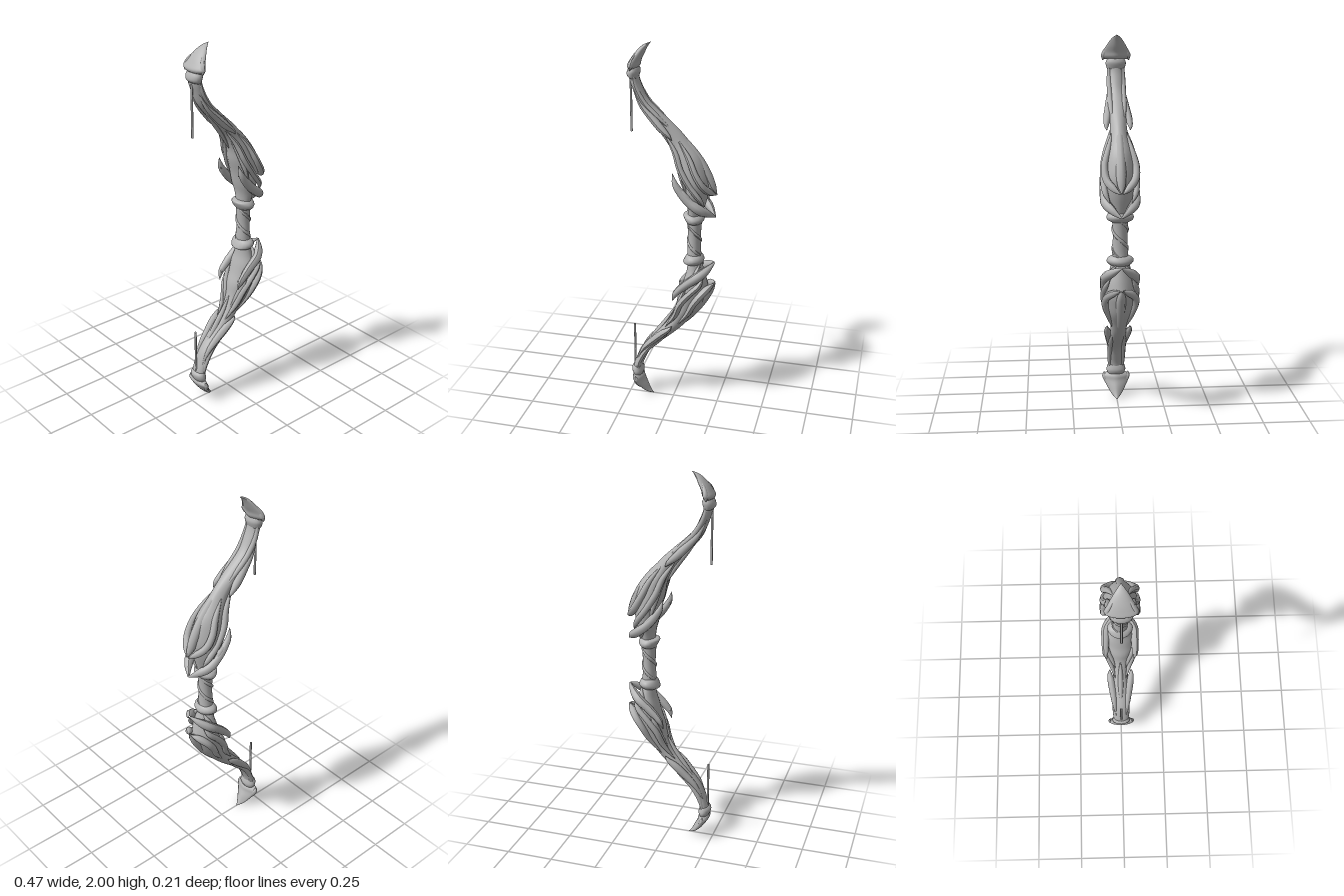
import * as THREE from 'three';

const stone = new THREE.MeshStandardMaterial({ color: 0xb4b4b4 });
stone.name = 'carved grey';

// Lower limb mirrors the upper one, slipping down a little near the grip
const flipY = (y) => 2 - y - 0.035 * THREE.MathUtils.smoothstep(1.4 - y, 0, 0.22);

// Smooth closed loft through sections [y, xMin, xMax, zHalf], given from low to high
function loft(sections, steps = 4, sides = 20, ridge = 0.25) {
  const v = (f) => new THREE.CatmullRomCurve3(sections.map(f), false, 'catmullrom', 0.5);
  const edge = v((s) => new THREE.Vector3(s[1], s[0], s[2]));
  const width = v((s) => new THREE.Vector3(s[3], 0, 0));
  const rows = (sections.length - 1) * steps;
  const pos = [], idx = [];
  for (let i = 0; i <= rows; i++) {
    const e = edge.getPoint(i / rows), hz = Math.max(width.getPoint(i / rows).x, 0.001);
    const cx = (e.x + e.z) / 2, hx = Math.max((e.z - e.x) / 2, 0.001);
    for (let j = 0; j < sides; j++) {
      const a = (j / sides) * Math.PI * 2, c = Math.cos(a);
      pos.push(cx + hx * c, e.y, -hz * Math.sin(a) * (1 - ridge * Math.max(0, c)));
    }
  }
  for (let i = 0; i < rows; i++) for (let j = 0; j < sides; j++) {
    const a = i * sides + j, b = i * sides + (j + 1) % sides;
    idx.push(a, b, a + sides, b, b + sides, a + sides);
  }
  for (let j = 1; j < sides - 1; j++) {
    const t = rows * sides;
    idx.push(0, j + 1, j, t, t + j, t + j + 1);
  }
  const g = new THREE.BufferGeometry();
  g.setAttribute('position', new THREE.Float32BufferAttribute(pos, 3));
  g.setIndex(idx);
  g.computeVertexNormals();
  return g;
}

// Tapering strand through points [x, y, z, radius]
function strand(points, steps = 28, sides = 8) {
  const curve = new THREE.CatmullRomCurve3(points.map((p) => new THREE.Vector3(p[0], p[1], p[2])));
  const size = new THREE.CatmullRomCurve3(points.map((p, i) => new THREE.Vector3(p[3], i, 0)), false, 'catmullrom');
  const g = new THREE.TubeGeometry(curve, steps, 1, sides, false);
  const p = g.attributes.position, v = new THREE.Vector3();
  for (let i = 0; i <= steps; i++) {
    const t = curve.getUtoTmapping(i / steps), c = curve.getPoint(t);
    const r = Math.max(size.getPoint(t).x, 0.0012);
    for (let j = 0; j <= sides; j++) {
      const k = i * (sides + 1) + j;
      v.fromBufferAttribute(p, k).sub(c).multiplyScalar(r).add(c);
      p.setXYZ(k, v.x, v.y, v.z);
    }
  }
  g.computeVertexNormals();
  return g;
}

function add(group, name, geometry) {
  const m = new THREE.Mesh(geometry, stone);
  m.name = name;
  group.add(m);
}

// Upper limb core, [y, xMin, xMax, zHalf]
const core = [
  [1.09, 0.08, 0.145, 0.042], [1.16, 0.075, 0.165, 0.06], [1.22, 0.06, 0.18, 0.08],
  [1.29, 0.045, 0.19, 0.085], [1.36, 0.025, 0.175, 0.08], [1.43, 0.012, 0.145, 0.066],
  [1.5, -0.02, 0.088, 0.047], [1.56, -0.065, 0.035, 0.042], [1.62, -0.115, -0.03, 0.044],
  [1.7, -0.178, -0.118, 0.043], [1.77, -0.208, -0.158, 0.043], [1.83, -0.226, -0.178, 0.044],
  [1.89, -0.222, -0.175, 0.046]];
// Claw-shaped end of the limb
const claw = [
  [1.872, -0.225, -0.178, 0.06], [1.888, -0.23, -0.168, 0.078], [1.91, -0.218, -0.163, 0.07],
  [1.94, -0.198, -0.148, 0.053], [1.97, -0.171, -0.134, 0.034], [1.988, -0.147, -0.123, 0.018],
  [2, -0.117, -0.113, 0.001]];
const neckRing = [
  [1.82, -0.224, -0.18, 0.044], [1.835, -0.236, -0.174, 0.05], [1.855, -0.234, -0.17, 0.053],
  [1.875, -0.224, -0.176, 0.045]];
const collar = [
  [1.07, 0.078, 0.148, 0.042], [1.082, 0.07, 0.158, 0.064], [1.1, 0.06, 0.166, 0.07],
  [1.118, 0.055, 0.158, 0.058], [1.125, 0.08, 0.145, 0.04]];

// Single strands on the centre line
const ridges = {
  outerRidge: [[-0.11, 1.66, 0, 0.003], [-0.03, 1.58, 0, 0.016], [0.065, 1.5, 0, 0.02],
    [0.13, 1.42, 0, 0.024], [0.175, 1.34, 0, 0.026], [0.205, 1.275, 0, 0.02], [0.229, 1.235, 0, 0.001]],
  innerRidge: [[-0.16, 1.69, 0, 0.002], [-0.1, 1.61, 0, 0.014], [-0.03, 1.51, 0, 0.013], [0.02, 1.42, 0, 0.002]],
};
// Strands that appear on both faces
const pairs = {
  thornBand: [[0.222, 1.112, 0, 0.004], [0.185, 1.145, 0.045, 0.021], [0.145, 1.175, 0.075, 0.025],
    [0.095, 1.215, 0.081, 0.023], [0.055, 1.26, 0.082, 0.02], [0.027, 1.305, 0.082, 0.015], [0.012, 1.357, 0.075, 0.001]],
  crossingVine: [[0.015, 1.3, 0.07, 0.003], [0.06, 1.265, 0.082, 0.014], [0.11, 1.21, 0.078, 0.014],
    [0.14, 1.15, 0.05, 0.012], [0.15, 1.115, 0.02, 0.002]],
  shellRib: [[0.03, 1.525, 0.035, 0.002], [0.09, 1.44, 0.059, 0.015], [0.13, 1.36, 0.08, 0.018],
    [0.165, 1.3, 0.073, 0.019], [0.197, 1.26, 0.04, 0.018], [0.226, 1.235, 0.006, 0.002]],
  sideVine: [[-0.04, 1.55, 0.03, 0.002], [0.02, 1.46, 0.055, 0.015], [0.052, 1.38, 0.077, 0.017],
    [0.1, 1.3, 0.086, 0.016], [0.155, 1.225, 0.076, 0.014], [0.175, 1.18, 0.055, 0.002]],
  innerVine: [[0.0, 1.48, 0.03, 0.002], [0.035, 1.41, 0.05, 0.014], [0.06, 1.33, 0.07, 0.014], [0.085, 1.24, 0.075, 0.002]],
  hangingLeaf: [[-0.2, 1.77, 0.03, 0.002], [-0.155, 1.69, 0.037, 0.014], [-0.1, 1.63, 0.045, 0.02],
    [-0.05, 1.58, 0.055, 0.02], [-0.01, 1.545, 0.062, 0.011], [0.005, 1.525, 0.06, 0.001]],
  tipVine: [[-0.2, 1.87, 0.035, 0.004], [-0.188, 1.79, 0.036, 0.012], [-0.14, 1.7, 0.036, 0.014],
    [-0.07, 1.63, 0.034, 0.013], [0.0, 1.565, 0.028, 0.002]],
  clawBarb: [[-0.205, 1.868, 0.068, 0.003], [-0.2, 1.892, 0.064, 0.013], [-0.19, 1.925, 0.05, 0.01], [-0.16, 1.965, 0.025, 0.002]],
};

function limb(name, lower) {
  const g = new THREE.Group();
  g.name = name;
  const sec = (s) => lower ? s.map((r) => [flipY(r[0]), r[1], r[2], r[3]]).reverse() : s;
  const path = (s, side = 1) => s.map((p) => [p[0], lower ? flipY(p[1]) : p[1], p[2] * side, p[3]]);
  add(g, 'limbCore', loft(sec(core)));
  add(g, 'claw', loft(sec(claw), 4, 20, 0.5));
  add(g, 'neckRing', loft(sec(neckRing), 3, 20, 0));
  add(g, 'gripCollar', loft(sec(collar), 3, 20, 0.1));
  for (const key in ridges) add(g, key, strand(path(ridges[key])));
  for (const key in pairs) for (const side of [1, -1])
    add(g, key + (side > 0 ? 'Front' : 'Back'), strand(path(pairs[key], side)));
  // Loose end of the bowstring
  const string = new THREE.CylinderGeometry(0.006, 0.006, 0.3, 8);
  string.translate(-0.219, lower ? 0.28 : 1.69, 0);
  add(g, 'stringEnd', string);
  return g;
}

export function createModel() {
  const model = new THREE.Group();
  model.name = 'carvedBow';
  model.add(limb('upperLimb', false), limb('lowerLimb', true));

  // Grip with two twisted wraps
  add(model, 'grip', loft([
    [0.86, 0.078, 0.155, 0.045], [0.91, 0.076, 0.148, 0.041], [0.98, 0.08, 0.146, 0.038],
    [1.04, 0.077, 0.148, 0.039], [1.1, 0.075, 0.152, 0.043]], 4, 20, 0));
  for (const phase of [0, Math.PI]) {
    const wrap = [];
    for (let i = 0; i <= 12; i++) {
      const t = i / 12, a = phase + t * Math.PI * 2;
      wrap.push([0.113 + 0.031 * Math.cos(a), 0.88 + 0.2 * t, 0.036 * Math.sin(a), 0.009]);
    }
    add(model, 'gripWrap', strand(wrap, 40));
  }
  return model;
}
